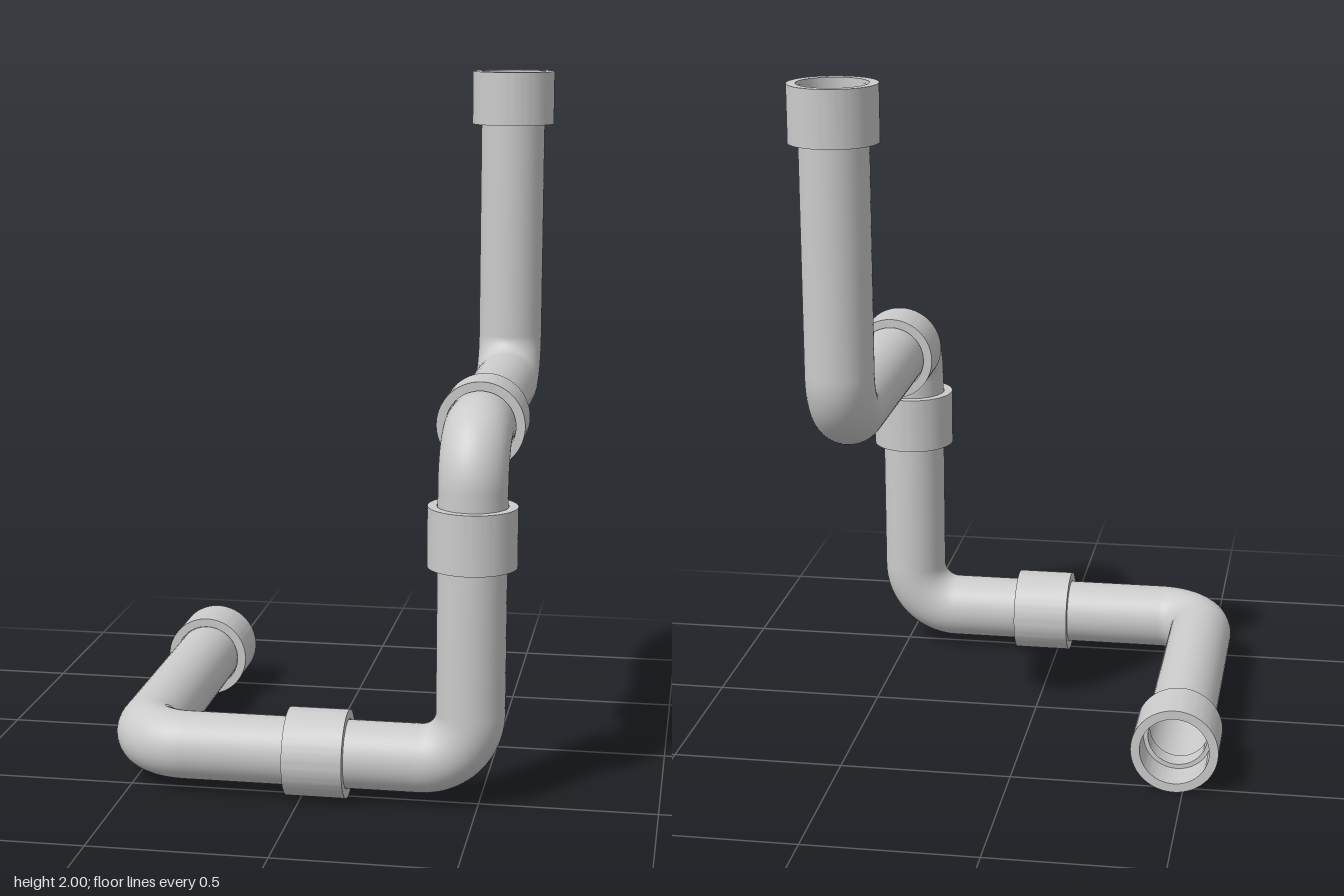
import * as THREE from 'three';
import { toCreasedNormals } from 'three/addons/utils/BufferGeometryUtils.js';

const PIPE = 0.097, COLLAR = 0.125, BEND = 0.14, SIDES = 48;
const V = (x, y, z) => new THREE.Vector3(x, y, z);

export function createModel() {
  const group = new THREE.Group();
  const material = new THREE.MeshStandardMaterial({ color: 0xcccccc, side: THREE.DoubleSide });

  const add = (name, geometry) => {
    const mesh = new THREE.Mesh(geometry, material);
    mesh.name = name;
    group.add(mesh);
    return mesh;
  };

  // Open straight pipe between two points
  const straight = (name, a, b) => {
    const mesh = add(name, new THREE.CylinderGeometry(PIPE, PIPE, a.distanceTo(b), SIDES, 1, true));
    mesh.position.copy(a).add(b).multiplyScalar(0.5);
    mesh.quaternion.setFromUnitVectors(V(0, 1, 0), b.clone().sub(a).normalize());
  };

  // Quarter-turn elbow at a corner, from direction d1 into direction d2
  const elbow = (name, corner, d1, d2) => {
    const mesh = add(name, new THREE.TorusGeometry(BEND, PIPE, SIDES, 20, Math.PI / 2));
    const x = d2.clone().negate();
    mesh.quaternion.setFromRotationMatrix(
      new THREE.Matrix4().makeBasis(x, d1, x.clone().cross(d1)));
    mesh.position.copy(corner).addScaledVector(d1, -BEND).addScaledVector(d2, BEND);
  };

  // Hollow ring from point a to point b
  const ring = (name, a, b, outer, inner) => {
    const shape = new THREE.Shape().absarc(0, 0, outer, 0, Math.PI * 2);
    shape.holes.push(new THREE.Path().absarc(0, 0, inner, 0, Math.PI * 2, true));
    const geometry = new THREE.ExtrudeGeometry(shape,
      { depth: a.distanceTo(b), bevelEnabled: false, curveSegments: SIDES });
    const mesh = add(name, toCreasedNormals(geometry, 0.6));
    mesh.position.copy(a);
    mesh.quaternion.setFromUnitVectors(V(0, 0, 1), b.clone().sub(a).normalize());
  };

  // Centre line: lower open end, four corners, upper open end
  const X = 0.475, Y = 0.13, Y2 = 1.05, Z = 0.5;
  const path = [V(-X, Y, -0.43), V(-X, Y, Z), V(X, Y, Z), V(X, Y2, Z), V(X, Y2, -Z), V(X, 1.99, -Z)];
  const dirs = path.slice(1).map((p, i) => p.clone().sub(path[i]).normalize());
  dirs.forEach((d, i) => {
    const a = path[i].clone(), b = path[i + 1].clone();
    if (i > 0) a.addScaledVector(d, BEND);
    if (i < dirs.length - 1) {
      b.addScaledVector(d, -BEND);
      elbow('elbow' + (i + 1), path[i + 1], d, dirs[i + 1]);
    }
    straight('pipe' + (i + 1), a, b);
  });

  // Socket collars along the run
  const bore = PIPE + 0.002;
  ring('lowerEndCollar', V(-X, Y, -0.53), V(-X, Y, -0.365), COLLAR, bore);
  ring('lowerCollar', V(-0.04, Y, Z), V(0.13, Y, Z), COLLAR, bore);
  ring('uprightCollar', V(X, 0.69, Z), V(X, 0.86, Z), COLLAR, bore);
  ring('upperCollar', V(X, Y2, 0.18), V(X, Y2, 0.33), COLLAR, bore);
  ring('topCollar', V(X, 1.84, -Z), V(X, 2, -Z), COLLAR, bore);

  // Rim of the pipe end recessed in the lower collar
  ring('pipeEndRim', V(-X, Y, -0.43), V(-X, Y, -0.37), PIPE + 0.001, 0.085);

  return group;
}
